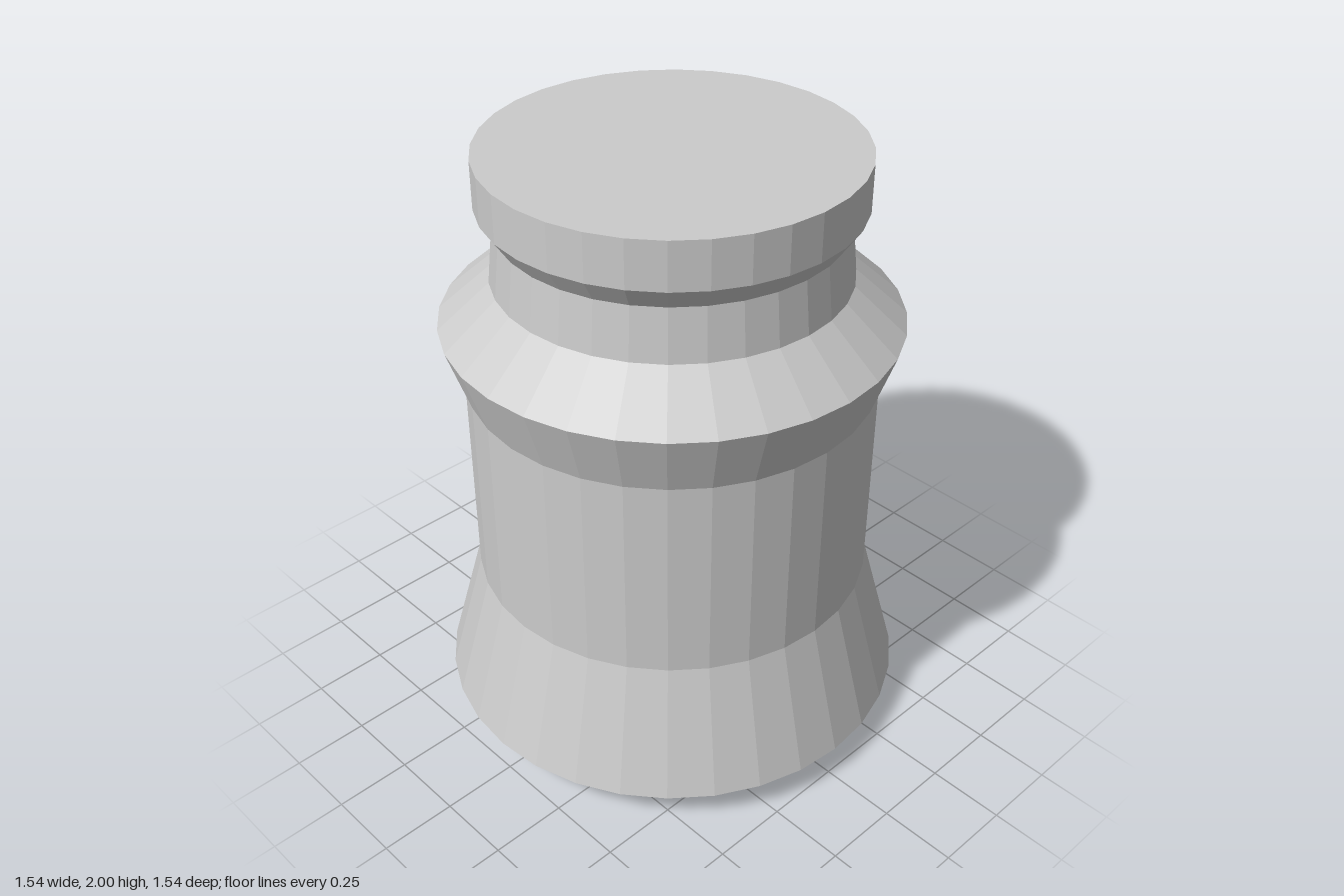
import * as THREE from 'three';

const SIDES = 32;

export function createModel() {
  const group = new THREE.Group();
  group.name = 'jar';
  const material = new THREE.MeshStandardMaterial({ color: 0xcccccc, flatShading: true });

  // Each part is a faceted turned section, given as [radius, height] from bottom to top
  const addTurned = (name, profile) => {
    const points = profile.map(([r, y]) => new THREE.Vector2(r, y));
    const mesh = new THREE.Mesh(new THREE.LatheGeometry(points, SIDES), material);
    mesh.name = name;
    group.add(mesh);
  };

  // Flat foot with bevelled underside
  addTurned('base', [[0, 0], [0.41, 0], [0.63, 0.06], [0.77, 0.123]]);

  // Flared skirt, straight wall and shoulder
  addTurned('body', [[0.77, 0.123], [0.65, 0.56], [0.65, 1.25], [0.72, 1.457], [0.555, 1.605]]);

  // Slightly tapered neck
  addTurned('neck', [[0.555, 1.605], [0.537, 1.775]]);

  // Lid with chamfered lower edge and closed top
  addTurned('lid', [[0.537, 1.775], [0.585, 1.847], [0.585, 2], [0, 2]]);

  return group;
}
